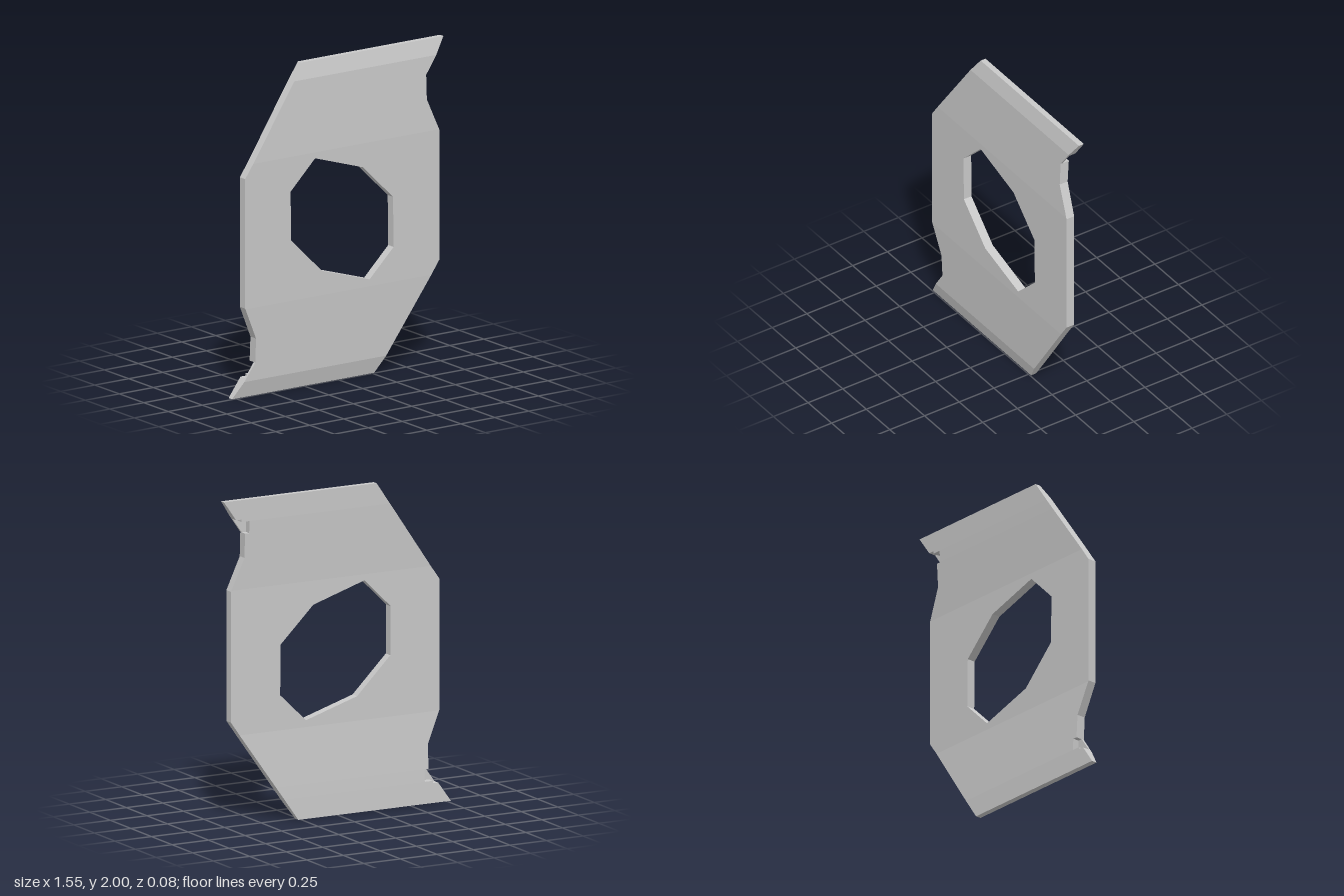
import * as THREE from 'three';
import { mergeGeometries } from 'three/addons/utils/BufferGeometryUtils.js';

// Right-hand edge of the plate as [y, x]; the left edge is this turned half a turn
const EDGE = [[0, 0.268], [0.64, 0.714], [1.44, 0.714], [1.64, 0.628], [1.79, 0.628], [2, 0.777]];
// Bent section of the sheet as [height from the nearer end, z]
const FRONT = [[0, -0.006], [0.1, 0.02], [0.555, 0.041], [1, 0.041]];
const BACK = [[0, -0.041], [0.15, -0.037], [0.555, -0.014], [1, -0.014]];
const HOLE = [[-0.2, 1.408], [0.15, 1.298], [0.373, 1.08], [0.377, 0.77], [0.2, 0.597], [-0.15, 0.705], [-0.377, 0.93], [-0.38, 1.23]];
// Stepped recess in the back of the notch: inner x and height range of each step
const RECESS = [{ x: 0.6, y0: 1.79, y1: 1.865 }, { x: 0.655, y0: 1.865, y1: 1.88 }];
const RECESS_Z = 0.008;

function sample(table, t) {
  for (let i = 1; i < table.length; i++) {
    const [a, va] = table[i - 1], [b, vb] = table[i];
    if (t <= b) return va + (vb - va) * (t - a) / (b - a);
  }
  return table[table.length - 1][1];
}
const rightX = (y) => sample(EDGE, y);
const leftX = (y) => -sample(EDGE, 2 - y);
const frontZ = (y) => sample(FRONT, Math.min(y, 2 - y));
const backZ = (y) => sample(BACK, Math.min(y, 2 - y));

// Horizontal slice between two edge functions, bent to the section
function band(y0, y1, left, right, back = backZ, hole = []) {
  const ys = [y0, y1];
  for (const [y] of EDGE) for (const v of [y, 2 - y]) if (v > y0 + 1e-4 && v < y1 - 1e-4) ys.push(v);
  ys.sort((a, b) => a - b);
  const up = ys.map((y) => new THREE.Vector2(right(y), y));
  const down = [...ys].reverse().map((y) => new THREE.Vector2(left(y), y));
  const shape = new THREE.Shape([...up, ...down]);
  if (hole.length) shape.holes.push(new THREE.Path(hole.map(([x, y]) => new THREE.Vector2(x, y))));
  const geo = new THREE.ExtrudeGeometry(shape, { depth: 1, bevelEnabled: false });
  const p = geo.attributes.position;
  for (let i = 0; i < p.count; i++) {
    const y = p.getY(i);
    p.setZ(i, p.getZ(i) > 0.5 ? frontZ(y) : back(y));
  }
  geo.computeVertexNormals();
  return geo;
}

export function createModel() {
  const group = new THREE.Group();
  group.name = 'bentPlate';
  const grey = new THREE.MeshStandardMaterial({ color: 0xc8c8c8, flatShading: true });
  grey.name = 'light grey metal';

  const add = (name, parts) => {
    const mesh = new THREE.Mesh(mergeGeometries(parts), grey);
    mesh.name = name;
    group.add(mesh);
    return mesh;
  };

  // Flat middle with the eight-sided opening
  add('centrePanel', [band(0.555, 1.445, leftX, rightX, backZ, HOLE)]);

  // Upper wing and lip, thinned from behind at the recess
  const wing = () => [
    band(1.445, 1.79, leftX, rightX),
    ...RECESS.flatMap(({ x, y0, y1 }) => [
      band(y0, y1, leftX, () => x),
      band(y0, y1, () => x, rightX, () => RECESS_Z),
    ]),
    band(1.88, 1.9, leftX, rightX),
    band(1.9, 2, leftX, rightX),
  ];
  add('upperWing', wing());

  // Lower wing is the upper one turned half a turn
  const lower = add('lowerWing', wing());
  lower.rotation.z = Math.PI;
  lower.position.y = 2;
  return group;
}
